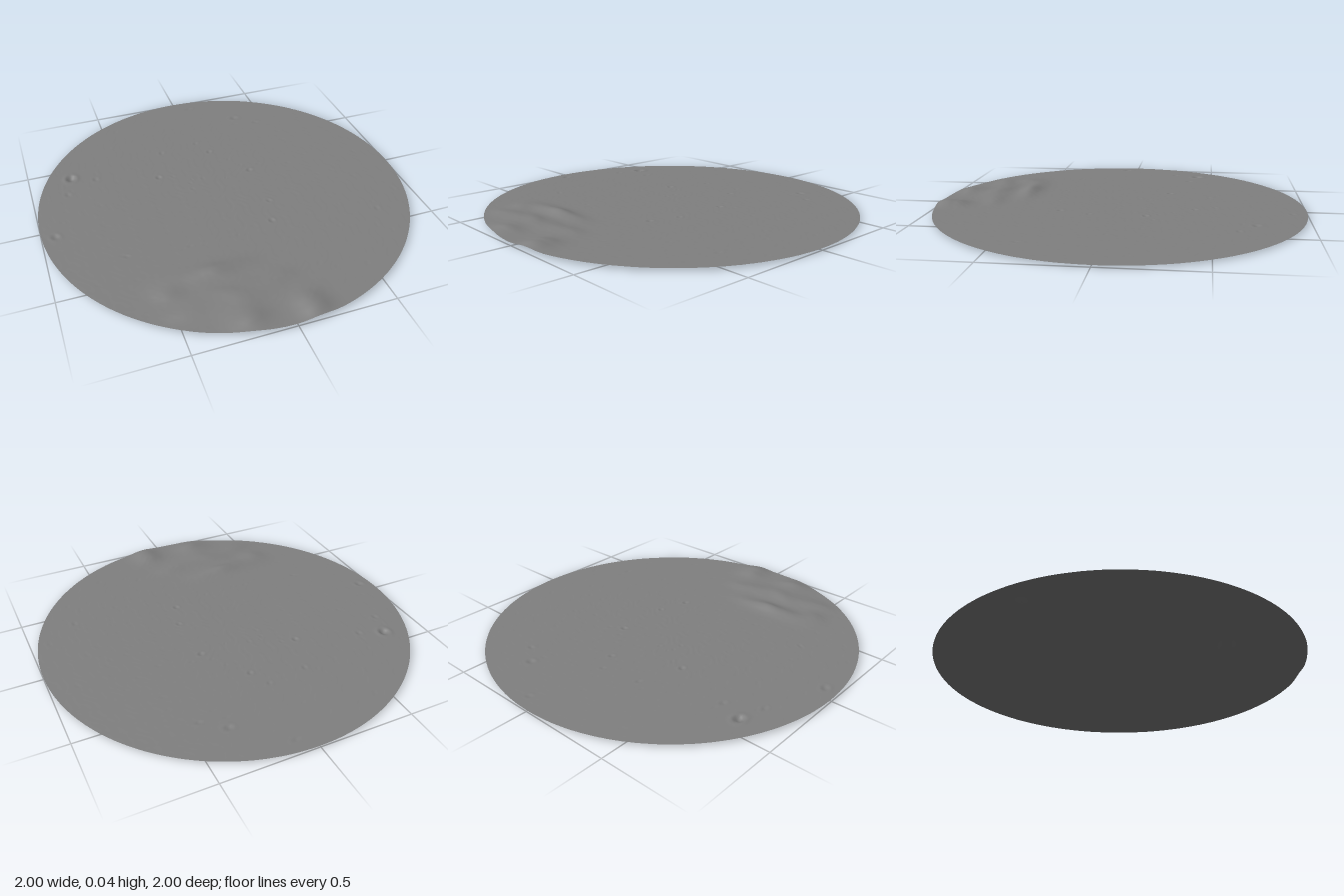
import * as THREE from 'three';
import { mergeVertices } from 'three/addons/utils/BufferGeometryUtils.js';

// Hills: x, z, radius in x, radius in z, height
const hills = [
  [-0.27, 0.56, 0.17, 0.055, 0.021],
  [-0.50, 0.62, 0.07, 0.07, 0.010],
  [-0.22, 0.74, 0.18, 0.07, 0.016],
  [-0.45, 0.78, 0.08, 0.05, 0.008],
  [0.11, 0.92, 0.07, 0.09, 0.022],
  [-0.20, 0.90, 0.09, 0.08, 0.017],
  [0.02, 0.70, 0.09, 0.05, 0.007],
];

// Main craters: x, z, radius, depth
const craters = [
  [-0.77, -0.41, 0.034, 0.0125], [-0.64, -0.36, 0.02, 0.004],
  [-0.30, -0.26, 0.02, 0.005], [-0.93, 0.06, 0.026, 0.006],
  [-0.81, -0.27, 0.019, 0.004], [0.32, -0.72, 0.026, 0.005],
  [0.43, -0.63, 0.018, 0.004], [0.05, -0.41, 0.018, 0.004],
  [0.21, -0.16, 0.02, 0.004], [0.21, 0.14, 0.018, 0.003],
  [0.16, 0.30, 0.02, 0.004], [-0.22, -0.49, 0.017, 0.003],
  [-0.62, 0.32, 0.016, 0.003], [0.73, 0.39, 0.018, 0.003],
  [0.00, -0.52, 0.016, 0.003], [0.08, -0.92, 0.02, 0.003],
];

function seeded(seed) {
  return () => (seed = (seed * 16807) % 2147483647) / 2147483647;
}

// Scatter of tiny pits
const random = seeded(71);
for (let i = 0; i < 70; i++) {
  const a = random() * Math.PI * 2;
  const r = Math.sqrt(random()) * 0.97;
  craters.push([r * Math.cos(a), r * Math.sin(a), 0.009 + random() * 0.007, 0.0012]);
}

function height(x, z) {
  let y = 0.0145 + 0.003 * z - 0.002 * x;
  // Uplands, roughened by folded ripples
  let upland = 0;
  for (const [hx, hz, rx, rz, h] of hills) {
    upland += h * Math.exp(-(((x - hx) / rx) ** 2) - ((z - hz) / rz) ** 2);
  }
  const fold = Math.sin(23 * x + 9 * z + 2 * Math.sin(14 * z)) * Math.sin(31 * z - 11 * x);
  y += upland * (1 + 0.12 * fold);
  // Bowl with a low raised rim
  for (const [cx, cz, r, depth] of craters) {
    const d = Math.hypot(x - cx, z - cz) / r;
    if (d < 2.5) y += depth * (0.3 * Math.exp(-(((d - 1) / 0.35) ** 2)) - Math.exp(-((d / 0.65) ** 2)));
  }
  // Fine ground roughness
  y += 0.0003 * Math.sin(61 * x + 3 * Math.sin(37 * z)) * Math.sin(67 * z + 3 * Math.sin(41 * x));
  return y;
}

export function createModel() {
  const group = new THREE.Group();
  group.name = 'crateredGround';
  const greyRock = new THREE.MeshStandardMaterial({ color: 0x808080, side: THREE.DoubleSide });
  greyRock.name = 'greyRock';

  // Round sheet of ground displaced by the height rule
  let sheet = new THREE.RingGeometry(0, 1, 400, 120);
  sheet.rotateX(-Math.PI / 2);
  sheet.deleteAttribute('uv');
  sheet.deleteAttribute('normal');
  sheet = mergeVertices(sheet, 1e-5);
  const p = sheet.attributes.position;
  for (let i = 0; i < p.count; i++) p.setY(i, height(p.getX(i), p.getZ(i)));
  sheet.computeBoundingBox();
  sheet.translate(0, -sheet.boundingBox.min.y, 0);
  sheet.computeVertexNormals();

  const ground = new THREE.Mesh(sheet, greyRock);
  ground.name = 'terrainDisc';
  group.add(ground);
  return group;
}
